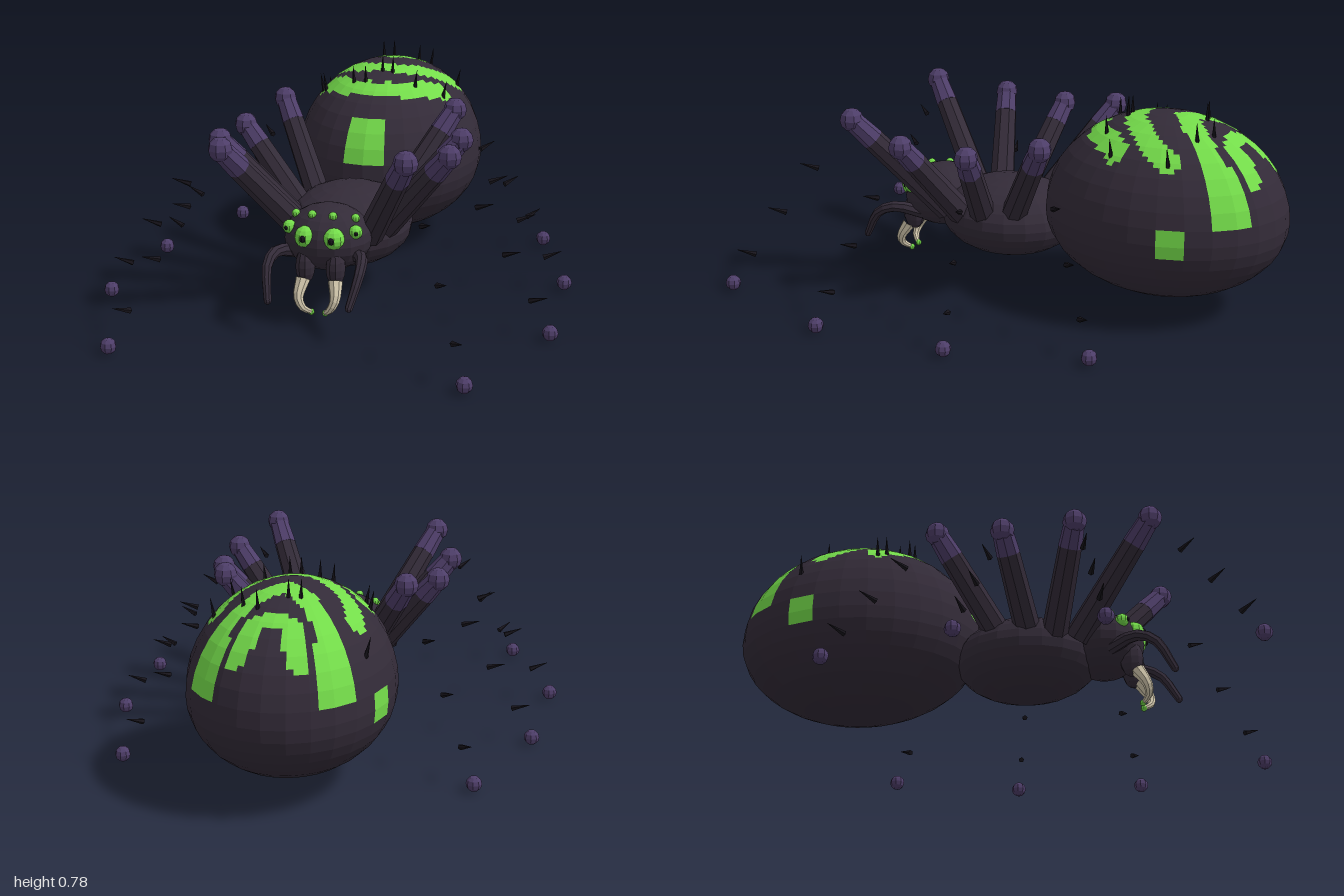
import * as THREE from 'three';

const mat = (name, color) => {
  const m = new THREE.MeshStandardMaterial({ color });
  m.name = name;
  return m;
};
const V = (x, y, z) => new THREE.Vector3(x, y, z);

// Faceted copy of a geometry
function flat(geo) {
  const g = geo.index ? geo.toNonIndexed() : geo;
  g.computeVertexNormals();
  return g;
}

// Egg-shaped abdomen: centre, radii, facets round and facets high
const AB = { y: 0.36, z: -0.54, rx: 0.367, up: 0.38, down: 0.3, rz: 0.458, n: 28, m: 20 };

function abdomenVertex(i, j) {
  const az = (2 * Math.PI * i) / AB.n, t = (Math.PI * j) / AB.m;
  const s = Math.sin(t), c = Math.cos(t);
  return V(AB.rx * s * Math.sin(az), AB.y + c * (c > 0 ? AB.up : AB.down), AB.z + AB.rz * s * Math.cos(az));
}
function abdomenPoint(u, v) {
  const i = Math.floor(u), j = Math.min(Math.floor(v), AB.m - 1), f = u - i, g = v - j;
  const top = abdomenVertex(i, j).lerp(abdomenVertex(i + 1, j), f);
  return top.lerp(abdomenVertex(i, j + 1).lerp(abdomenVertex(i + 1, j + 1), f), g);
}

// Chevron bands on the back, as half paths in (x, z) with a half width
const BANDS = [
  { w: 0.036, p: [[0, -0.28], [0.1, -0.31], [0.17, -0.37], [0.23, -0.44]] },
  { w: 0.036, p: [[0, -0.43], [0.07, -0.44], [0.15, -0.5], [0.21, -0.56], [0.24, -0.64]] },
  { w: 0.042, p: [[0, -0.61], [0.07, -0.66], [0.14, -0.73], [0.2, -0.81], [0.23, -0.86]] },
  { w: 0.033, p: [[0, -0.79], [0.065, -0.81], [0.08, -0.87], [0.12, -0.91]] },
];
function segmentDistance(x, z, [ax, az], [bx, bz]) {
  const dx = bx - ax, dz = bz - az;
  const t = Math.min(1, Math.max(0, ((x - ax) * dx + (z - az) * dz) / (dx * dx + dz * dz)));
  return Math.hypot(x - ax - t * dx, z - az - t * dz);
}
function isMarked(u, v) {
  const a = u > 14 ? 28 - u : u; // facets away from the front
  if (a < 1 && v > 6 && v < 9) return true; // front patch
  if (a > 8 && a < 9 && v > 9 && v < 11) return true; // side patch
  if (a > 10 && a < 11.7 && v > 5.3 && v < 9) return true; // rear stripe
  if (v > 7) return false;
  const p = abdomenPoint(u, v), x = Math.abs(p.x);
  return BANDS.some(({ w, p: q }) => q.slice(1).some((b, k) => segmentDistance(x, p.z, q[k], b) < w));
}
function abdomenGeometries() {
  const K = 3, out = [[], []];
  for (let j = 0; j < AB.m * K; j++) {
    for (let i = 0; i < AB.n * K; i++) {
      const u0 = i / K, u1 = (i + 1) / K, v0 = j / K, v1 = (j + 1) / K;
      const a = abdomenPoint(u0, v1), b = abdomenPoint(u1, v1);
      const c = abdomenPoint(u1, v0), d = abdomenPoint(u0, v0);
      const list = out[isMarked((u0 + u1) / 2, (v0 + v1) / 2) ? 1 : 0];
      const tris = j === 0 ? [a, b, d] : j === AB.m * K - 1 ? [a, c, d] : [a, b, c, a, c, d];
      for (const p of tris) list.push(p.x, p.y, p.z);
    }
  }
  return out.map((list) => {
    const g = new THREE.BufferGeometry();
    g.setAttribute('position', new THREE.Float32BufferAttribute(list, 3));
    g.computeVertexNormals();
    return g;
  });
}

export function createModel() {
  const group = new THREE.Group();
  const shell = mat('dark shell', 0x332b38);
  const green = mat('venom green', 0x74dc4a);
  const purple = mat('joint purple', 0x4e3e69);
  const cream = mat('fang cream', 0xd6cbb0);
  const black = mat('spine black', 0x17141b);

  const add = (name, geo, material) => {
    const mesh = new THREE.Mesh(flat(geo), material);
    mesh.name = name;
    group.add(mesh);
    return mesh;
  };
  const ball = (name, p, r, material, ws = 8, hs = 6) => {
    const mesh = add(name, new THREE.SphereGeometry(1, ws, hs), material);
    mesh.position.copy(p);
    mesh.scale.copy(r.isVector3 ? r : V(r, r, r));
    return mesh;
  };
  const limb = (name, a, b, r0, r1, material, sides = 8) => {
    const dir = b.clone().sub(a);
    const mesh = add(name, new THREE.CylinderGeometry(r1, r0, dir.length(), sides), material);
    mesh.position.copy(a).add(b).multiplyScalar(0.5);
    mesh.quaternion.setFromUnitVectors(V(0, 1, 0), dir.normalize());
    return mesh;
  };
  // Curved tapering limb
  const horn = (name, points, r0, r1, material) => {
    const curve = new THREE.CatmullRomCurve3(points), N = 8, S = 8;
    const geo = new THREE.TubeGeometry(curve, N, 1, S);
    const pos = geo.attributes.position;
    for (let i = 0; i <= N; i++) {
      const c = curve.getPointAt(i / N), r = r0 + ((r1 - r0) * i) / N;
      for (let k = 0; k <= S; k++) {
        const id = i * (S + 1) + k;
        const p = V().fromBufferAttribute(pos, id).sub(c).multiplyScalar(r).add(c);
        pos.setXYZ(id, p.x, p.y, p.z);
      }
    }
    add(name, geo, material);
    ball(name + 'End', points[points.length - 1], r1, material);
  };

  // Body
  const [plain, marked] = abdomenGeometries();
  add('abdomen', plain, shell);
  add('abdomenMarkings', marked, green);
  ball('thorax', V(0, 0.255, 0.1), V(0.235, 0.15, 0.27), shell, 20, 14);
  ball('head', V(0, 0.295, 0.39), V(0.16, 0.12, 0.15), shell, 16, 12);

  // Bristles on the abdomen
  const bristles = [[-0.06, -0.67], [-0.02, -0.68], [0.07, -0.74], [0.13, -0.7], [-0.29, -0.71], [0.25, -0.64],
    [0, -0.4], [0.04, -0.4], [-0.23, -0.4], [0.24, -0.42], [-0.1, -0.34], [-0.05, -0.33], [-0.25, -0.43], [0.14, -0.36]];
  for (const [x, z] of bristles) {
    const h = Math.sqrt(1 - (x / AB.rx) ** 2 - ((z - AB.z) / AB.rz) ** 2);
    const base = V(x, AB.y + AB.up * h - 0.012, z);
    limb('bristle', base, base.clone().add(V(x * 0.06, 0.075, 0)), 0.009, 0.0005, black, 5);
  }

  for (const s of [1, -1]) {
    // Eyes, with pupils on the larger ones
    const eyes = [[0.052, 0.325, 0.505, 0.04], [0.122, 0.345, 0.468, 0.025],
      [0.038, 0.395, 0.465, 0.016], [0.11, 0.382, 0.425, 0.016]];
    for (const [x, y, z, r] of eyes) {
      ball('eye', V(s * x, y, z), r, green, 10, 8);
      if (r > 0.02) {
        const out = V(s * x * 0.5, 0, 0.2).normalize();
        if (r > 0.03) out.set(0, 0.05, 1).normalize();
        ball('pupil', V(s * x, y, z).addScaledVector(out, r * 0.85), r * 0.32, black);
      }
    }

    // Jaws, fangs and feelers
    ball('jaw', V(s * 0.056, 0.215, 0.495), V(0.036, 0.068, 0.045), shell, 10, 8);
    horn('fang', [V(s * 0.06, 0.17, 0.515), V(s * 0.067, 0.11, 0.55), V(s * 0.05, 0.075, 0.553), V(s * 0.028, 0.055, 0.532)],
      0.027, 0.009, cream);
    ball('fangTip', V(s * 0.026, 0.052, 0.528), 0.012, green);
    horn('feeler', [V(s * 0.11, 0.24, 0.42), V(s * 0.158, 0.265, 0.52), V(s * 0.168, 0.235, 0.59), V(s * 0.147, 0.13, 0.655)],
      0.026, 0.014, shell);

    // Legs: root, knee, foot
    const legs = [
      [V(0.13, 0.28, 0.3), V(0.33, 0.65, 0.595), V(0.618, 0.035, 0.966)],
      [V(0.16, 0.28, 0.22), V(0.425, 0.605, 0.33), V(0.82, 0.035, 0.462)],
      [V(0.16, 0.28, 0.13), V(0.415, 0.595, 0.066), V(0.797, 0.035, -0.043)],
      [V(0.13, 0.28, 0.03), V(0.338, 0.64, -0.188), V(0.643, 0.035, -0.525)],
    ];
    for (const leg of legs) {
      const [root, knee, foot] = leg.map((p) => V(s * p.x, p.y, p.z));
      const band = root.clone().lerp(knee, 0.78);
      limb('upperLeg', root, band, 0.05, 0.043, shell);
      limb('legBand', band, knee, 0.044, 0.038, purple);
      ball('knee', knee, 0.045, purple);
      ball('foot', foot, 0.029, purple);
      // Spines along the line of each lower leg
      const dir = foot.clone().sub(knee).setY(0).normalize().setY(0.35).normalize();
      for (const t of [0.35, 0.62, 0.88]) {
        const mid = knee.clone().lerp(foot, t).add(V(0, 0.045, 0));
        limb('legSpine', mid.clone().addScaledVector(dir, -0.036), mid.clone().addScaledVector(dir, 0.036),
          0.011, 0.0008, black, 5);
      }
    }
  }
  return group;
}
